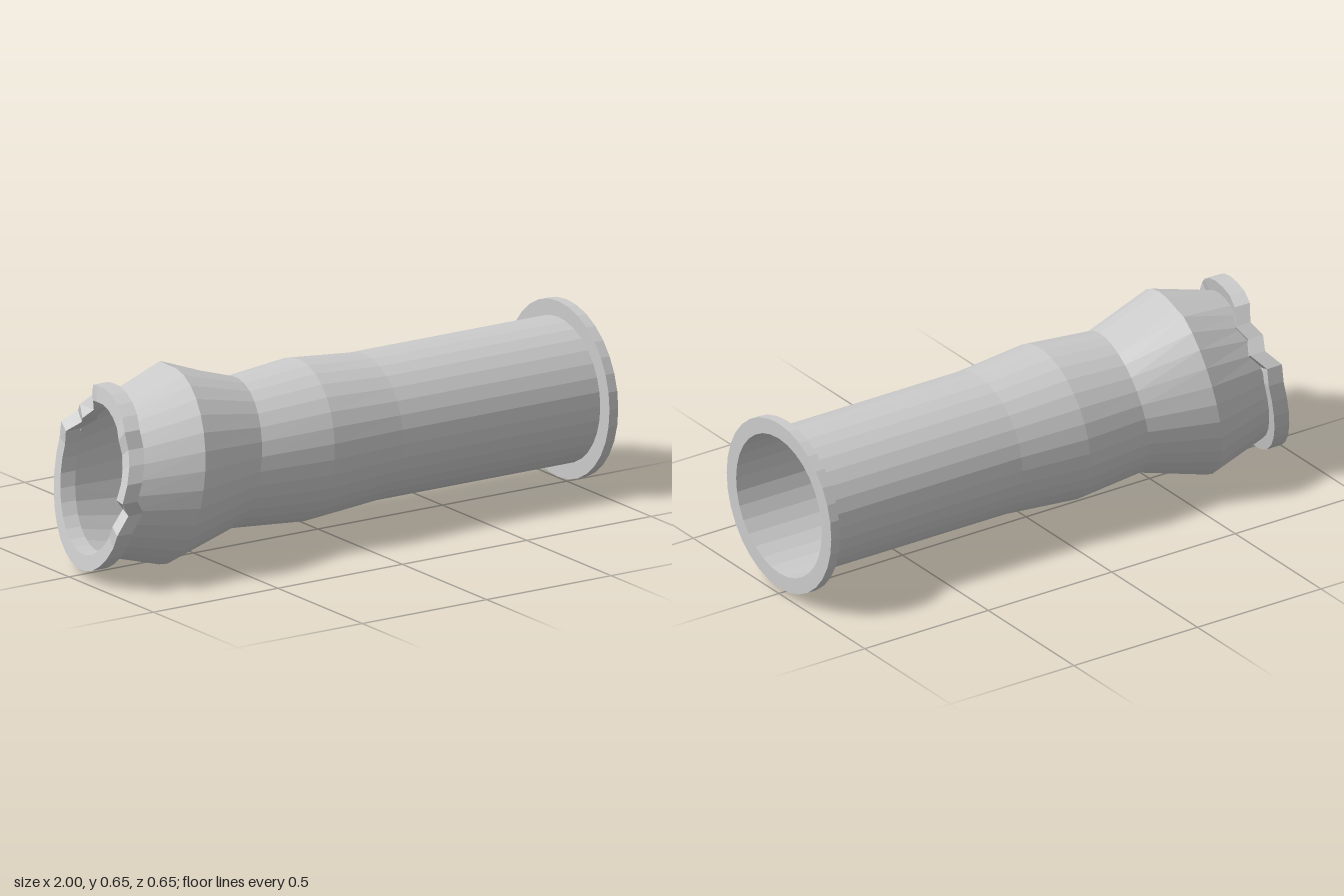
import * as THREE from 'three';

const SIDES = 32;
const AXIS_Y = 0.328;

// A ring is { x, r, a, b }: axial position, radius, lean with height, lean with depth.
// warp(k, ringIndex) returns [axial, radial] offsets for one corner.
function loft(rings, closed, warp = () => [0, 0]) {
  const positions = [];
  const index = [];
  rings.forEach(({ x, r, a = 0, b = 0 }, i) => {
    for (let k = 0; k < SIDES; k++) {
      const phi = (k / SIDES) * Math.PI * 2; // from the top towards the back
      const [dx, dr] = warp(k, i);
      const y = (r + dr) * Math.cos(phi);
      const z = -(r + dr) * Math.sin(phi);
      positions.push(x + dx + a * y - b * z, AXIS_Y + y, z);
    }
  });
  const bands = closed ? rings.length : rings.length - 1;
  for (let i = 0; i < bands; i++) {
    const n = (i + 1) % rings.length;
    for (let k = 0; k < SIDES; k++) {
      const m = (k + 1) % SIDES;
      const p = i * SIDES + k, q = i * SIDES + m;
      const s = n * SIDES + k, t = n * SIDES + m;
      index.push(p, q, s, q, t, s);
    }
  }
  const g = new THREE.BufferGeometry();
  g.setAttribute('position', new THREE.Float32BufferAttribute(positions, 3));
  g.setIndex(index);
  g.computeVertexNormals();
  return g;
}

export function createModel() {
  const group = new THREE.Group();
  const material = new THREE.MeshStandardMaterial({
    color: 0xcccccc, flatShading: true, side: THREE.DoubleSide,
  });
  const add = (name, geometry) => {
    const mesh = new THREE.Mesh(geometry, material);
    mesh.name = name;
    group.add(mesh);
  };

  // Thin pipe wall with two swellings that lean more towards the damaged end
  const body = [
    { x: 0.975, r: 0.25 },
    { x: 0.18, r: 0.25, a: 0.03, b: 0.03 },
    { x: -0.095, r: 0.273, a: 0.09, b: 0.09 },
    { x: -0.36, r: 0.25, a: 0.16, b: 0.16 },
    { x: -0.62, r: 0.326, a: 0.155, b: 0.185 },
    { x: -0.86, r: 0.258, a: 0.2, b: 0.22 },
  ];
  // Lifted crease on the upper back of the large swelling
  const crease = { 2: 0.016, 3: 0.013, 4: 0.008, 5: 0.003 };
  add('pipeBody', loft(body, false, (k, i) => [0, i === 4 ? crease[k] || 0 : 0]));

  // Intact square-edged flange
  add('endFlange', loft([
    { x: 1, r: 0.25 }, { x: 1, r: 0.305 },
    { x: 0.965, r: 0.305 }, { x: 0.965, r: 0.25 },
  ], true));

  // Leaning flange, crumpled at the upper back and along the front: [axial, radial]
  const dents = {
    2: [0.01, 0.004], 3: [0.035, -0.02], 4: [0.01, -0.025], 5: [0.03, -0.012], 6: [-0.01, 0.005],
    22: [-0.008, 0.004], 23: [0.028, -0.018], 24: [-0.02, 0.008], 25: [-0.008, 0.006],
    26: [0.004, -0.006], 27: [0.01, -0.018], 28: [-0.005, 0],
  };
  const lean = { a: 0.18, b: 0.21 };
  add('crumpledFlange', loft([
    { x: -0.85, r: 0.25, ...lean }, { x: -0.85, r: 0.302, ...lean },
    { x: -0.91, r: 0.302, ...lean }, { x: -0.91, r: 0.25, ...lean },
  ], true, (k) => dents[k] || [0, 0]));

  return group;
}
